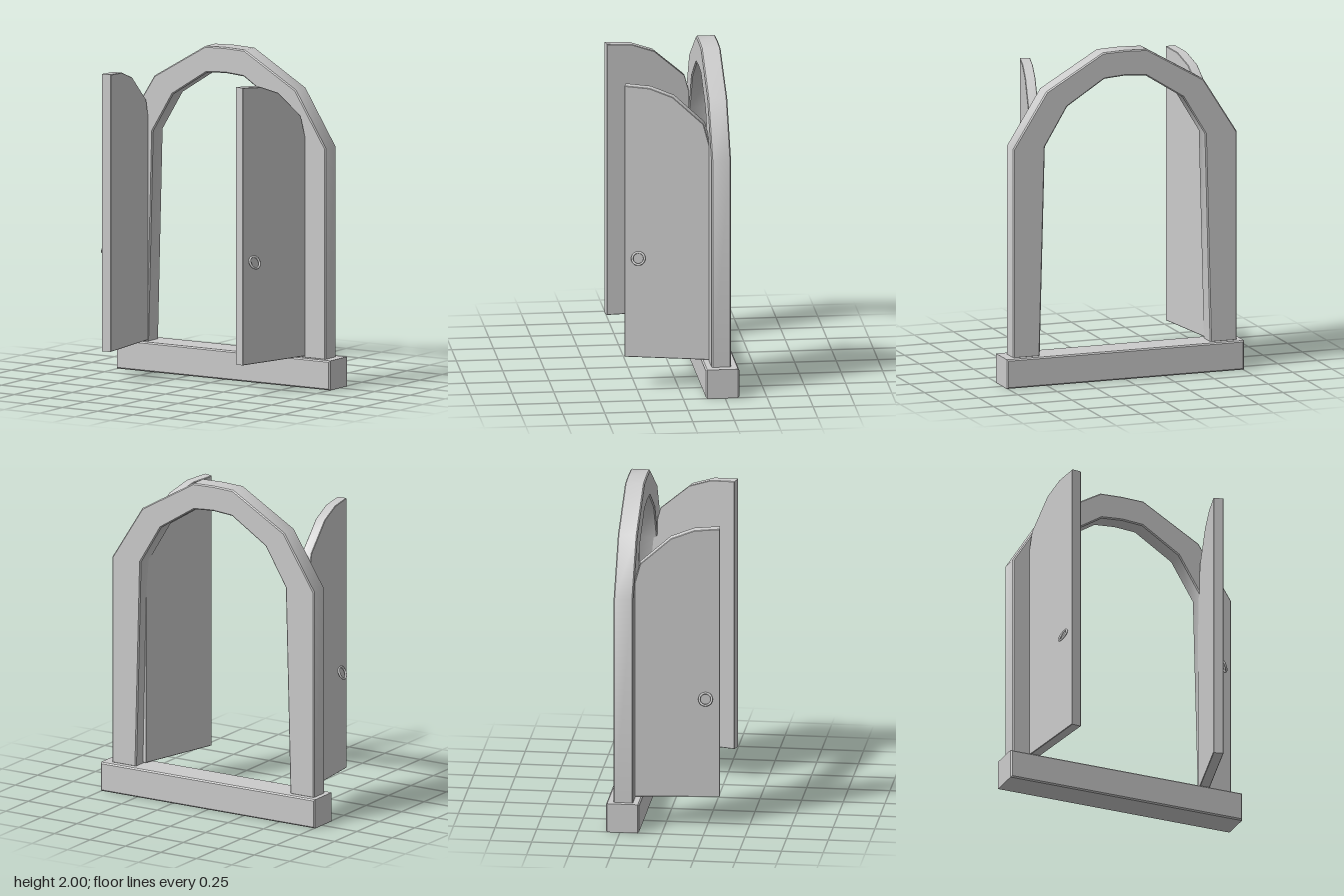
import * as THREE from 'three';
import { toCreasedNormals } from 'three/addons/utils/BufferGeometryUtils.js';

const material = new THREE.MeshStandardMaterial({ color: 0xcccccc });

function part(name, geometry) {
  const mesh = new THREE.Mesh(geometry, material);
  mesh.name = name;
  return mesh;
}

// Extrudes an outline from z = 0 to z = depth with a small chamfer kept inside the outline.
function slab(points, depth, bevel) {
  const shape = new THREE.Shape(points.map(([x, y]) => new THREE.Vector2(x, y)));
  const geometry = new THREE.ExtrudeGeometry(shape, {
    depth: depth - 2 * bevel,
    bevelEnabled: bevel > 0,
    bevelThickness: bevel,
    bevelSize: bevel,
    bevelOffset: -bevel,
    bevelSegments: 1,
  });
  geometry.translate(0, 0, bevel);
  return toCreasedNormals(geometry, 0.7);
}

// A door leaf hinged at its -z end; side is the outward x direction of its ring.
function createDoor(name, side, x, z, angle) {
  const door = new THREE.Group();
  door.name = name;
  const thickness = 0.062;
  const outline = [
    [0, 0.185], [0.54, 0.185], [0.54, 1.4], [0.475, 1.64],
    [0.29, 1.8], [0.15, 1.85], [0, 1.86],
  ];
  const leaf = slab(outline, thickness, 0.003);
  leaf.translate(0, 0, -thickness / 2).rotateY(Math.PI / 2);
  door.add(part('doorLeaf', leaf));

  // Ring handle, hanging with its lower edge away from the leaf
  const ring = new THREE.TorusGeometry(0.037, 0.007, 8, 20);
  ring.rotateY(Math.PI / 2).rotateZ(side * 0.42);
  const handle = part('ringHandle', ring);
  handle.position.set(side * 0.045, 0.8, -0.085);
  door.add(handle);

  door.position.set(x, 0, z);
  door.rotation.y = angle;
  return door;
}

export function createModel() {
  const model = new THREE.Group();
  model.name = 'archedDoorway';

  // Threshold beam
  const threshold = part('threshold', slab(
    [[-0.755, 0], [0.755, 0], [0.755, 0.178], [-0.755, 0.178]], 0.2, 0.008));
  threshold.position.z = -0.335;
  model.add(threshold);

  // Arched frame: half profiles mirrored about the frame's own centre line
  const outer = [[0.712, 0.172], [0.712, 1.45], [0.5, 1.785], [0.14, 1.995]];
  const inner = [[0.543, 0.172], [0.51, 1.45], [0.368, 1.685], [0.132, 1.835]];
  const mirror = (points) => points.map(([x, y]) => [-x, y]);
  const outline = [
    ...outer, [0, 2], ...mirror(outer).reverse(),
    ...mirror(inner), [0, 1.845], ...[...inner].reverse(),
  ];
  const frame = part('archFrame', slab(outline, 0.117, 0.007));
  frame.position.set(-0.012, 0, -0.292);
  model.add(frame);

  // Two leaves standing open by different amounts
  model.add(createDoor('rightDoor', -1, -0.532, 0.323, 0.11));
  model.add(createDoor('leftDoor', 1, 0.4, 0.31, -0.25));

  return model;
}
